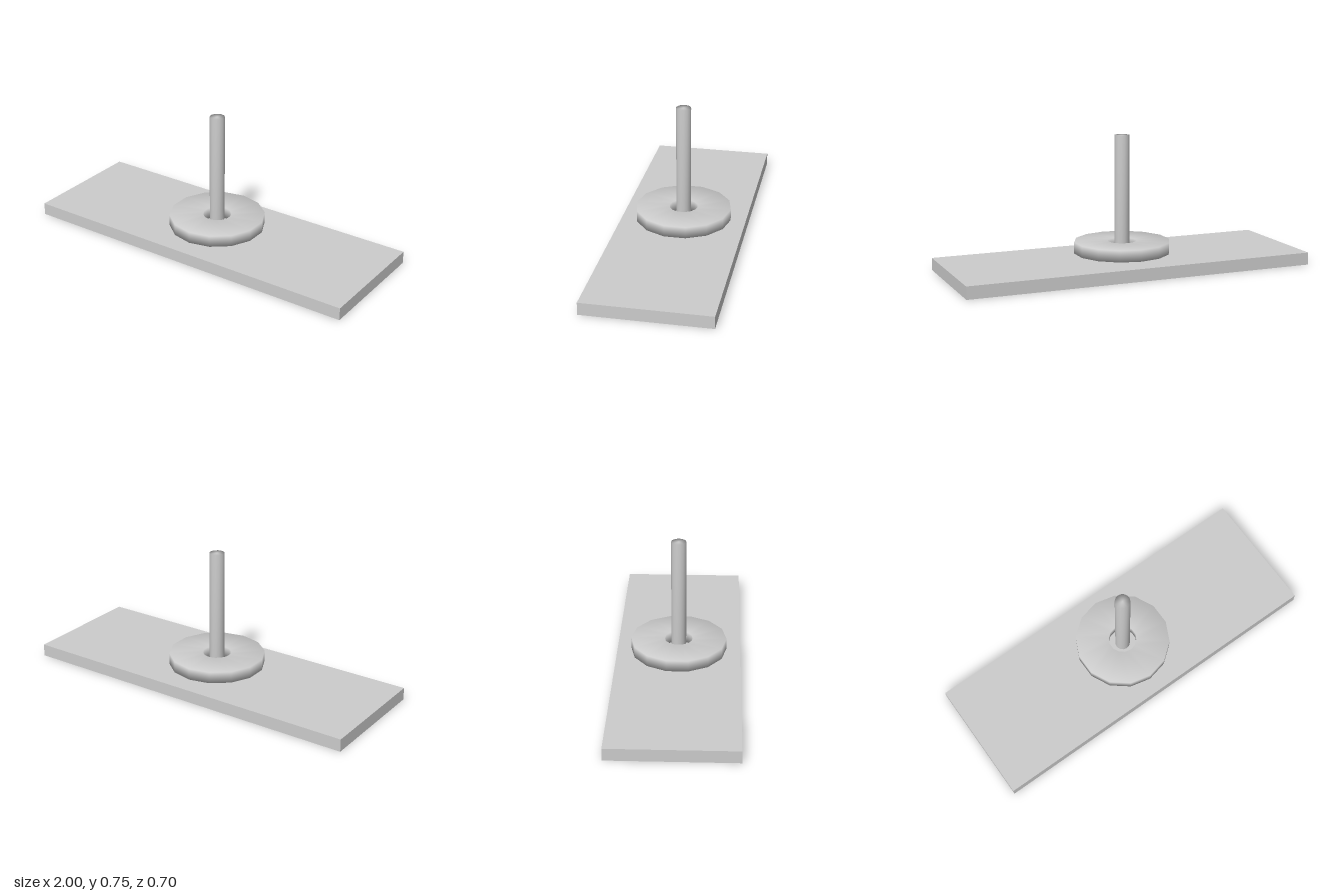
import * as THREE from 'three';
import { mergeVertices } from 'three/addons/utils/BufferGeometryUtils.js';

const SIDES = 14;
const grey = new THREE.MeshStandardMaterial({ color: 0xcccccc });

// Shares vertices so shading runs softly over every edge
function soften(geometry) {
  geometry.deleteAttribute('uv');
  geometry.deleteAttribute('normal');
  const merged = mergeVertices(geometry, 1e-4);
  merged.computeVertexNormals();
  return merged;
}

export function createModel() {
  const group = new THREE.Group();
  const add = (name, geometry, y) => {
    const mesh = new THREE.Mesh(geometry, grey);
    mesh.name = name;
    mesh.position.y = y;
    group.add(mesh);
  };

  // Flat rectangular base
  add('baseBoard', new THREE.BoxGeometry(2, 0.07, 0.7), 0.035);

  // Ring with a rectangular section, hovering just above the board
  const section = [[0.27, 0], [0.27, 0.065], [0.08, 0.065], [0.08, 0], [0.27, 0]]
    .map(([r, y]) => new THREE.Vector2(r, y));
  add('ringDisc', soften(new THREE.LatheGeometry(section, SIDES)), 0.09);

  // Upright rod through the ring
  add('rod', soften(new THREE.CylinderGeometry(0.042, 0.042, 0.66, SIDES)), 0.42);

  return group;
}
